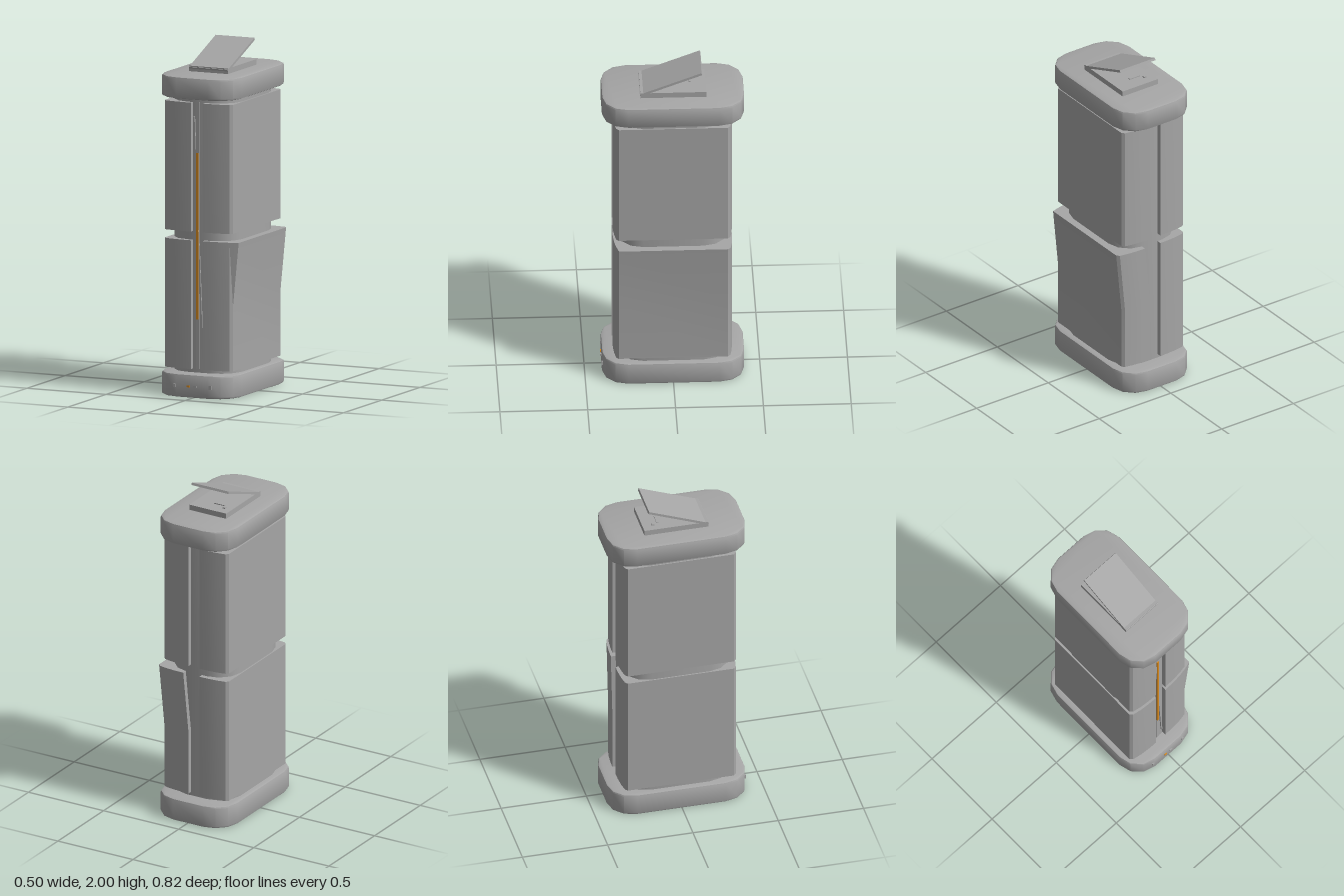
import * as THREE from 'three';
import { toCreasedNormals } from 'three/addons/utils/BufferGeometryUtils.js';

const CX = -0.005; // the body sits slightly off centre because one panel is bent outwards

export function createModel() {
  const model = new THREE.Group();
  const grey = new THREE.MeshStandardMaterial({ color: 0xa6a6a6 });
  grey.name = 'grey';
  const orange = new THREE.MeshStandardMaterial({ color: 0xd98a1e });
  orange.name = 'orange';

  function add(name, geometry, material, x = 0, y = 0, z = 0) {
    const mesh = new THREE.Mesh(geometry, material);
    mesh.name = name;
    mesh.position.set(x, y, z);
    model.add(mesh);
    return mesh;
  }
  const box = (name, material, w, h, d, x, y, z) =>
    add(name, new THREE.BoxGeometry(w, h, d), material, x, y, z);

  // Rounded rectangle with three facets per corner
  function roundedShape(hx, hz, r) {
    const pts = [];
    [[1, 1], [-1, 1], [-1, -1], [1, -1]].forEach(([sx, sz], q) => {
      for (let i = 0; i <= 3; i++) {
        const a = (q + i / 3) * Math.PI / 2;
        pts.push(new THREE.Vector2(sx * (hx - r) + r * Math.cos(a), sz * (hz - r) + r * Math.sin(a)));
      }
    });
    return new THREE.Shape(pts);
  }

  // Upright slab from a plan outline, with an optional rounded rim
  function slab(shape, y0, y1, bevel = 0, steps = 1) {
    const g = new THREE.ExtrudeGeometry(shape, {
      depth: y1 - y0 - 2 * bevel, steps,
      bevelEnabled: bevel > 0, bevelSize: bevel, bevelThickness: bevel,
      bevelOffset: -bevel, bevelSegments: 2,
    });
    g.rotateX(-Math.PI / 2);
    g.translate(0, y0 + bevel, 0);
    return g;
  }

  // Base, lid cap and the core between them
  const cap = roundedShape(0.244, 0.405, 0.145);
  add('base', toCreasedNormals(slab(cap, 0, 0.133, 0.011), 0.6), grey, CX, 0, -0.003);
  add('topCap', toCreasedNormals(slab(cap, 1.718, 1.843, 0.011), 0.6), grey, CX, 0, -0.003);
  add('core', toCreasedNormals(slab(roundedShape(0.207, 0.312, 0.14), 0.12, 1.73), 0.6), grey, CX);

  // Four half-width body panels with a groove between them front and back
  const outline = [[0.036, 0.34], [0.09, 0.339], [0.15, 0.334], [0.2, 0.325], [0.215, 0.31]];
  function panel(side, y0, y1, bend) {
    const front = outline.map(([x, z]) => new THREE.Vector2(side * x, z));
    const back = outline.map(([x, z]) => new THREE.Vector2(side * x, -z)).reverse();
    const g = slab(new THREE.Shape([...front, ...back]), y0, y1, 0, 2);
    // The bent panel leans outwards above its middle, except along its front
    if (bend) {
      const p = g.attributes.position;
      for (let i = 0; i < p.count; i++) {
        if (p.getY(i) > y1 - 0.01 && p.getZ(i) < 0.318) p.setX(i, p.getX(i) + bend);
      }
    }
    return toCreasedNormals(g, 0.5);
  }
  for (const [sideName, side] of [['left', 1], ['right', -1]]) {
    add(sideName + 'LowerPanel', panel(side, 0.155, 0.897, side > 0 ? 0.036 : 0), grey, CX);
    add(sideName + 'UpperPanel', panel(side, 0.947, 1.69, 0), grey, CX);
  }

  // Front groove: trim strip, light strip and a slanting loose strip
  box('grooveStrip', grey, 0.022, 1.535, 0.012, -0.008, 0.922, 0.313);
  box('lightStrip', orange, 0.012, 0.96, 0.008, -0.01, 0.92, 0.32);
  const loose = box('looseStrip', grey, 0.008, 1.4, 0.008, -0.004, 0.91, 0.316);
  loose.rotation.z = 0.04;

  // Small sockets and indicator on the front of the base
  for (const x of [-0.118, 0.108]) box('baseSocket', grey, 0.014, 0.022, 0.012, x, 0.066, 0.398);
  box('baseIndicator', orange, 0.018, 0.01, 0.014, -0.027, 0.066, 0.401);
  box('baseButton', grey, 0.018, 0.01, 0.014, 0.015, 0.066, 0.401);

  // Hatch on the cap: raised plate, latch and a lid hinged open at the front
  box('hatchPlate', grey, 0.245, 0.036, 0.375, -0.006, 1.857, -0.004);
  box('hatchLatch', grey, 0.07, 0.006, 0.012, -0.03, 1.877, -0.1);
  box('hatchCatch', grey, 0.016, 0.008, 0.016, -0.08, 1.878, -0.13);
  const lid = box('hatchLid', grey, 0.245, 0.014, 0.376, -0.006, 1.928, 0.009);
  lid.rotation.x = Math.atan2(0.134, 0.35);

  return model;
}
